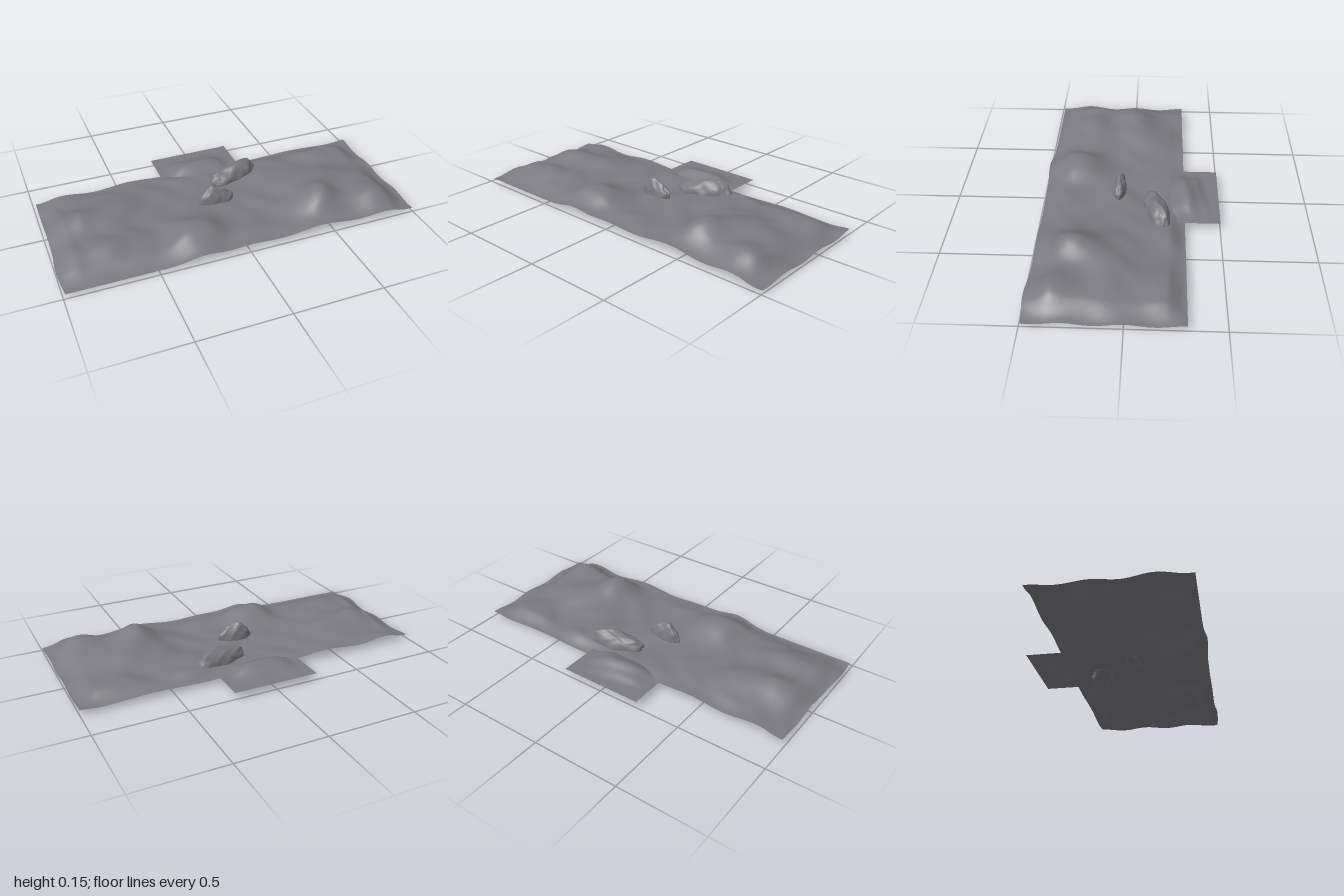
import * as THREE from 'three';
import { mergeVertices } from 'three/addons/utils/BufferGeometryUtils.js';

const material = new THREE.MeshStandardMaterial({ color: 0x7b7a80, side: THREE.DoubleSide });
const { smoothstep, lerp } = THREE.MathUtils;

// Hills and hollows: x, z, height, x spread, z spread
const HILLS = [
  [0.5, 0.3, 0.085, 0.085, 0.09],
  [0.58, 0.16, 0.045, 0.1, 0.09],
  [0.8, 0.36, 0.072, 0.09, 0.1],
  [0.72, 0.08, 0.035, 0.12, 0.09],
  [0.42, 0, 0.02, 0.1, 0.1],
  [0.75, -0.19, 0.02, 0.13, 0.08],
  [0.36, -0.24, 0.02, 0.08, 0.08],
  [-0.29, 0.33, 0.067, 0.07, 0.11],
  [-0.17, 0.3, 0.045, 0.06, 0.1],
  [-0.81, 0, 0.04, 0.055, 0.09],
  [-0.7, 0.02, 0.03, 0.08, 0.08],
  [-0.92, -0.03, 0.025, 0.04, 0.1],
  [-0.58, -0.04, 0.043, 0.1, 0.08],
  [-0.72, 0.25, 0.045, 0.12, 0.07],
  [-0.93, 0.2, 0.02, 0.05, 0.08],
  [-0.45, -0.2, 0.015, 0.1, 0.08],
];
// Swells along the long edges: x, height, spread
const FRONT_SWELLS = [[-0.26, 0.033, 0.08], [0, 0.022, 0.13], [0.43, 0.035, 0.13], [0.82, 0.03, 0.09]];
const BACK_SWELLS = [[-0.83, 0.033, 0.1], [-0.45, 0.03, 0.13], [-0.05, 0.022, 0.2], [0.6, 0.015, 0.15]];

const gauss = (x, z, [cx, cz, h, sx, sz]) =>
  h * Math.exp(-0.5 * (((x - cx) / sx) ** 2 + ((z - cz) / sz) ** 2));
const swell = (x, list) =>
  list.reduce((sum, [c, h, s]) => sum + gauss(x, 0, [c, 0, h, s, 1]), 0.014);

const ripple = (x, z) =>
  0.004 * Math.sin(13 * x + 5 * z + 1.5 * Math.sin(9 * z)) +
  0.003 * Math.sin(21 * z - 9 * x + Math.sin(14 * x)) +
  0.002 * Math.sin(31 * x + 2 * Math.sin(17 * z));

function groundHeight(x, z) {
  let y = 0.043 + ripple(x, z);
  for (const hill of HILLS) y += gauss(x, z, hill);
  // Ease into the edge lines: front, back, then both ends
  y = lerp(swell(x, FRONT_SWELLS), y, smoothstep(0.49 - z, 0, 0.14));
  y = lerp(swell(x, BACK_SWELLS), y, smoothstep(z + 0.305, 0, 0.1));
  return lerp(0.019 + 0.007 * Math.cos(21 * z), y, smoothstep(1 - Math.abs(x), 0, 0.13));
}

function sheet(name, x0, x1, z0, z1, nx, nz, height, bow = () => [0, 0]) {
  const g = new THREE.PlaneGeometry(x1 - x0, z1 - z0, nx, nz).rotateX(-Math.PI / 2);
  g.translate((x0 + x1) / 2, 0, (z0 + z1) / 2);
  const p = g.attributes.position;
  for (let i = 0; i < p.count; i++) {
    const x = p.getX(i), z = p.getZ(i);
    const [dx, dz] = bow(x, z);
    p.setXYZ(i, x + dx, height(x, z), z + dz);
  }
  g.computeVertexNormals();
  const mesh = new THREE.Mesh(g, material);
  mesh.name = name;
  return mesh;
}

// Rough boulder: steep sides, a sloping craggy top and a shallow buried base
function boulder(name, [x, y, z], [rx, up, down, rz], turn, peak, seed) {
  let g = new THREE.IcosahedronGeometry(1, 9);
  g.deleteAttribute('uv');
  g.deleteAttribute('normal');
  g = mergeVertices(g, 1e-4);
  const p = g.attributes.position;
  const v = new THREE.Vector3();
  for (let i = 0; i < p.count; i++) {
    v.fromBufferAttribute(p, i);
    const bump = 1 +
      0.06 * Math.sin(5 * v.x + seed) * Math.cos(5 * v.z - seed) +
      0.05 * Math.sin(8 * v.x + seed) * Math.sin(7 * v.y + 2 * seed) +
      0.03 * Math.sin(13 * v.x - seed) * Math.cos(11 * v.z + 6 * v.y);
    const h = v.y > 0
      ? up * v.y ** 0.75 * (1 - 0.35 * Math.min(1, Math.abs(v.x - peak)))
      : down * v.y;
    const taper = 1 - 0.2 * Math.max(0, v.y);
    p.setXYZ(i, v.x * bump * rx, h * bump, v.z * bump * taper * rz);
  }
  g.computeVertexNormals();
  const mesh = new THREE.Mesh(g, material);
  mesh.name = name;
  mesh.position.set(x, y, z);
  mesh.rotation.y = turn;
  return mesh;
}

export function createModel() {
  const group = new THREE.Group();
  group.name = 'rockyGround';

  // Main rolling ground, bowed out at the left end and at two places in front
  group.add(sheet('ground', -0.985, 1, -0.305, 0.488, 160, 70, groundHeight, (x, z) => [
    -smoothstep(-x, 0.85, 0.985) * gauss(0, z, [0, 0.33, 0.015, 1, 0.08]),
    smoothstep(z, 0.3, 0.49) *
      (gauss(x, 0, [-0.25, 0, 0.012, 0.1, 1]) + gauss(x, 0, [0.85, 0, 0.012, 0.1, 1])),
  ]));

  // Small patch of ground behind, with a low ridge, tucked under the main sheet
  group.add(sheet('backGround', -0.24, 0.245, -0.5, -0.2, 56, 36, (x, z) => {
    const fade = smoothstep(0.24 - Math.abs(x), 0, 0.12) * smoothstep(z, -0.5, -0.38);
    const ridge = gauss(x, z, [0, -0.315, 0.048, 0.12, 0.055]) +
      0.005 * Math.sin(22 * x + 30 * z) * Math.sin(40 * z - 9 * x);
    return 0.034 + fade * ridge - 0.008 * smoothstep(z, -0.28, -0.2);
  }));

  // Boulders
  group.add(boulder('largeBoulder', [0.16, 0.046, -0.15], [0.158, 0.092, 0.046, 0.062], 0.27, 0.5, 1.3));
  group.add(boulder('smallBoulder', [-0.025, 0.05, 0.065], [0.098, 0.098, 0.02, 0.036], -0.05, -0.25, 4.1));

  return group;
}
